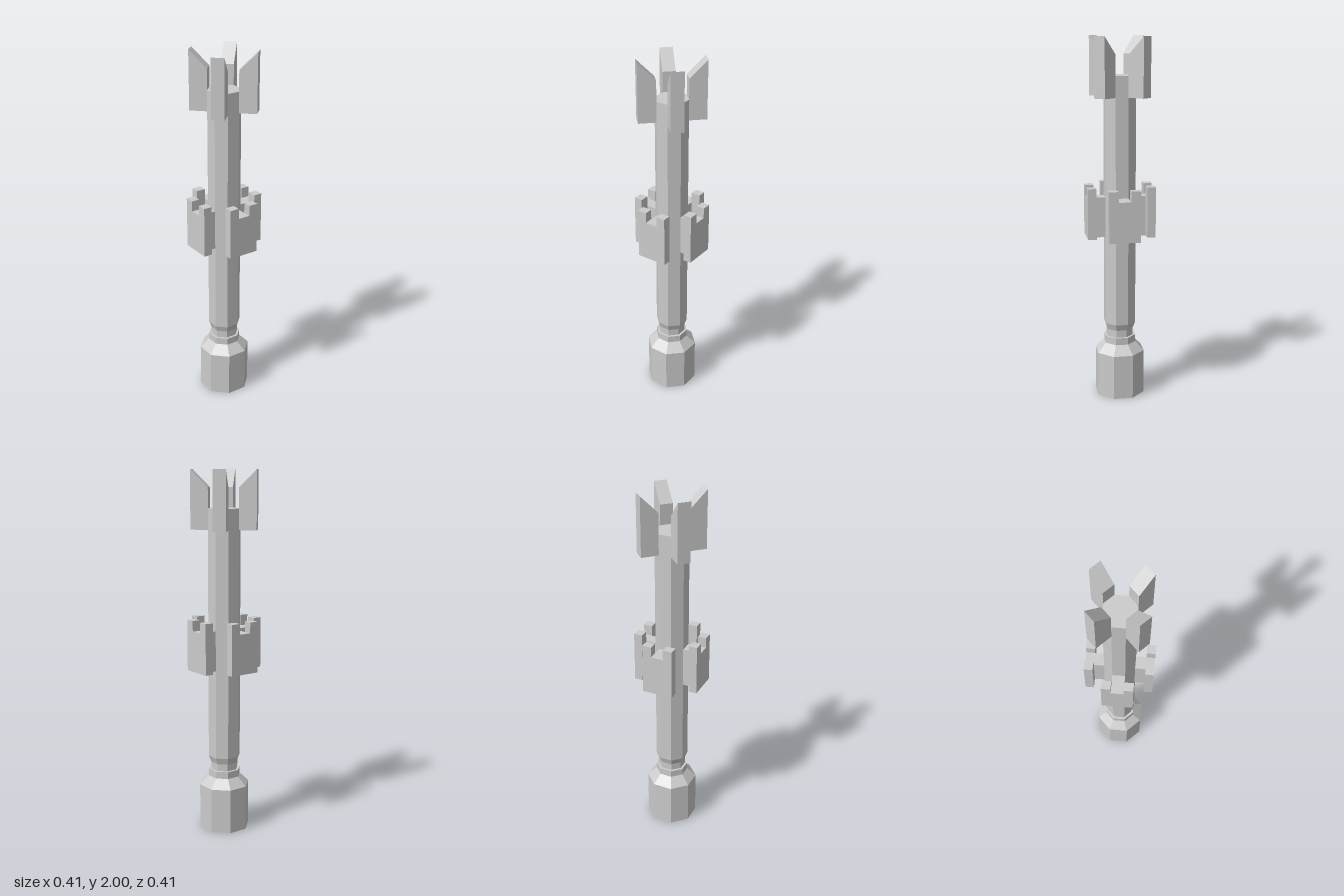
import * as THREE from 'three';

const material = new THREE.MeshStandardMaterial({ color: 0xcccccc, flatShading: true });

const RADIUS = 0.09;                                  // octagonal shaft
const APOTHEM = RADIUS * Math.cos(Math.PI / 8);
const FACE = 2 * RADIUS * Math.sin(Math.PI / 8);      // width of one shaft face

function part(name, geometry) {
  const mesh = new THREE.Mesh(geometry, material);
  mesh.name = name;
  return mesh;
}

function extrude(points, depth) {
  const shape = new THREE.Shape(points.map(([x, y]) => new THREE.Vector2(x, y)));
  return new THREE.ExtrudeGeometry(shape, { depth, bevelEnabled: false });
}

function turned(name, profile) {
  return part(name, new THREE.LatheGeometry(profile.map(([r, y]) => new THREE.Vector2(r, y)), 8));
}

export function createModel() {
  const model = new THREE.Group();
  model.name = 'flangedMace';

  // Pommel with chamfered shoulder
  model.add(turned('pommel', [[0, 0], [0.141, 0], [0.141, 0.253], [RADIUS, 0.303], [0, 0.303]]));

  // Collar, narrow neck and long shaft
  model.add(turned('shaft', [
    [RADIUS, 0.303], [RADIUS, 0.343], [0.076, 0.343], [0.076, 0.383],
    [RADIUS, 0.42], [RADIUS, 1.795], [0, 1.795],
  ]));

  // Crown fin: sloped top rising outwards
  const fin = extrude([[APOTHEM, 1.682], [0.178, 1.682], [0.178, 2], [APOTHEM, 1.905]], FACE);
  fin.translate(0, 0, -FACE / 2);

  // Guard plate: two merlons with a notch one shaft face wide
  const low = 0.92, notch = 1.142, high = 1.2, half = 0.086, outer = 0.186, inner = 0.139;
  const plate = extrude([
    [-half, low], [half, low], [half, high], [FACE / 2, high],
    [FACE / 2, notch], [-FACE / 2, notch], [-FACE / 2, high], [-half, high],
  ], outer - inner);
  plate.translate(0, 0, inner);
  plate.rotateY(Math.PI / 2);

  // Bridge joining the plate to the shaft
  const bridge = new THREE.BoxGeometry(inner - APOTHEM, notch - low, FACE);
  bridge.translate((inner + APOTHEM) / 2, (notch + low) / 2, 0);

  // Fins and guards sit on alternating shaft faces
  for (let i = 0; i < 4; i++) {
    const finMesh = part('crownFin', fin);
    finMesh.rotation.y = Math.PI / 8 + i * Math.PI / 2;

    const guard = new THREE.Group();
    guard.name = 'guard';
    guard.add(part('guardPlate', plate), part('guardBridge', bridge));
    guard.rotation.y = -Math.PI / 8 + i * Math.PI / 2;

    model.add(finMesh, guard);
  }
  return model;
}
